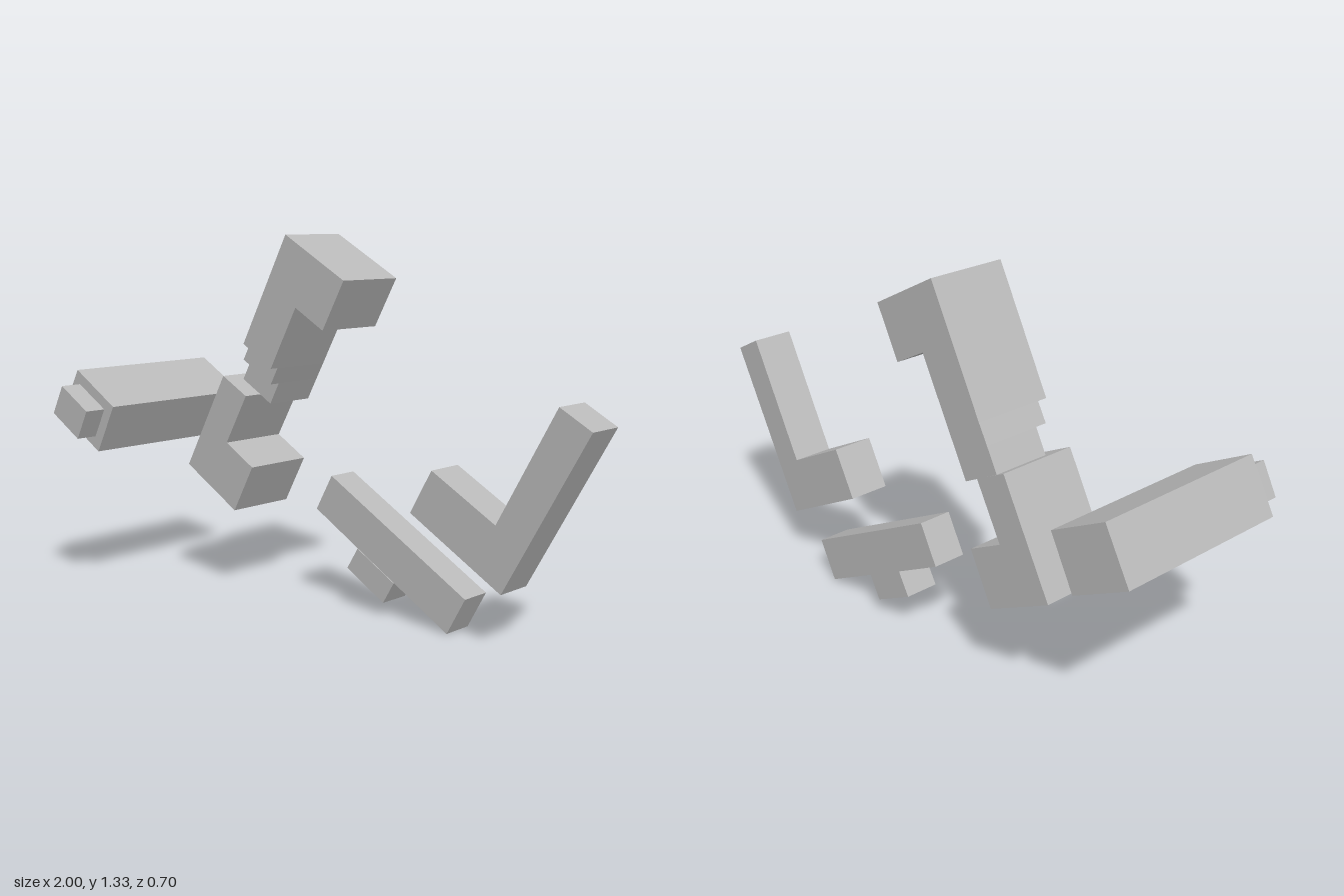
import * as THREE from 'three';

const BACK = -0.355;

export function createModel() {
  const group = new THREE.Group();
  const grey = new THREE.MeshStandardMaterial({ color: 0xb8b8b8 });
  grey.name = 'plain grey';

  // Straight prism: an outline in x, y pushed from z0 to z1
  function prism(name, points, z1, z0 = BACK) {
    const shape = new THREE.Shape(points.map(([x, y]) => new THREE.Vector2(x, y)));
    const geometry = new THREE.ExtrudeGeometry(shape, { depth: z1 - z0, bevelEnabled: false });
    geometry.translate(0, 0, z0);
    const mesh = new THREE.Mesh(geometry, grey);
    mesh.name = name;
    group.add(mesh);
  }

  // Long block with a smaller stub on its front
  prism('longBlock', [[-0.90, 0.83], [-0.69, 0.712], [-0.785, 0.537], [-1, 0.657]], 0.27);
  prism('longBlockStub', [[-0.888, 0.778], [-0.743, 0.698], [-0.80, 0.592], [-0.946, 0.672]], 0.35, 0.27);

  // Upper hooked arm, its lower end stepping back in depth
  prism('upperArm', [[-0.16, 1.33], [0.112, 1.18], [0.017, 1.008], [-0.112, 1.08],
    [-0.235, 0.858], [-0.375, 0.938]], -0.083);
  prism('upperArmStep', [[-0.375, 0.938], [-0.235, 0.858], [-0.27, 0.796], [-0.411, 0.876]], -0.117);
  prism('upperArmTail', [[-0.411, 0.876], [-0.27, 0.796], [-0.313, 0.718], [-0.455, 0.797]], -0.157);

  // Lower hooked arm
  prism('lowerArm', [[-0.485, 0.812], [-0.365, 0.748], [-0.47, 0.564], [-0.334, 0.488],
    [-0.43, 0.313], [-0.686, 0.455]], -0.083);

  // Bar with a short tab below
  prism('tabbedBar', [[-0.082, 0.47], [0.524, 0.135], [0.45, 0], [0.217, 0.13],
    [0.048, 0.224], [-0.155, 0.338]], -0.238);
  prism('barTab', [[0.048, 0.224], [0.217, 0.13], [0.17, 0.05], [0, 0.145]], -0.235);

  // Right-hand corner piece
  prism('cornerPiece', [[0.394, 0.558], [0.657, 0.415], [0.88, 0.82], [1, 0.755],
    [0.684, 0.19], [0.305, 0.40]], -0.212);

  return group;
}
